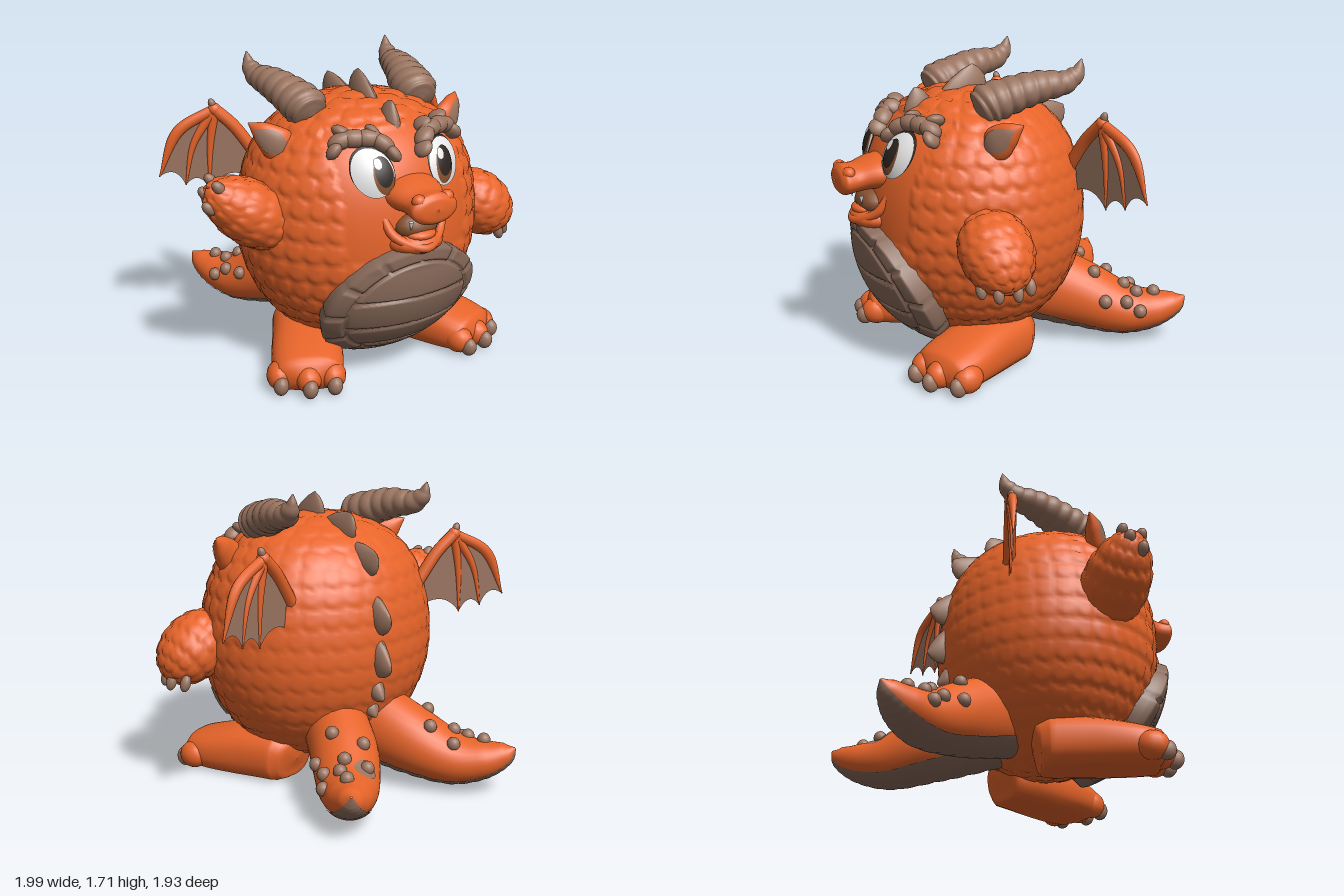
import * as THREE from 'three';
import { mergeVertices } from 'three/addons/utils/BufferGeometryUtils.js';

const V = (x, y, z) => new THREE.Vector3(x, y, z);
const TAU = Math.PI * 2;

function material(name, color, side = THREE.FrontSide) {
  const m = new THREE.MeshStandardMaterial({ color, side });
  m.name = name;
  return m;
}

// Smooth surface from a rule fn(u, v); its front is d/dv x d/du
function grid(nu, nv, fn) {
  const pos = [], idx = [];
  for (let i = 0; i <= nu; i++) for (let j = 0; j <= nv; j++) pos.push(...fn(i / nu, j / nv).toArray());
  for (let i = 0; i < nu; i++) for (let j = 0; j < nv; j++) {
    const a = i * (nv + 1) + j, c = a + nv + 1;
    idx.push(a, a + 1, c, a + 1, c + 1, c);
  }
  let g = new THREE.BufferGeometry();
  g.setAttribute('position', new THREE.Float32BufferAttribute(pos, 3));
  g.setIndex(idx);
  g = mergeVertices(g, 1e-5);
  g.computeVertexNormals();
  return g;
}

// Point rule for a tapered form along stations [x, y, z, sideRadius, upRadius]
function tapered(stations, s = 1, ridge = () => 1) {
  const path = new THREE.CatmullRomCurve3(stations.map(p => V(s * p[0], p[1], p[2])));
  const radii = new THREE.CatmullRomCurve3(stations.map(p => V(p[3], p[4], 0)));
  return (t, a, grow = 1) => {
    const dir = path.getTangent(t), r = radii.getPoint(t), k = grow * ridge(t);
    const side = V(0, 1, 0).cross(dir).normalize(), up = dir.clone().cross(side);
    return path.getPoint(t).addScaledVector(side, Math.max(r.x, 0.001) * k * Math.cos(a))
      .addScaledVector(up, Math.max(r.y, 0.001) * k * Math.sin(a));
  };
}

// Height of overlapping scales at longitude th and latitude ph
function scaleHeight(th, ph, cols) {
  const rows = cols / 2, cell = TAU / cols, row = Math.floor(ph / cell);
  for (let r = Math.max(0, row - 1); r <= Math.min(rows - 1, row + 1); r++) {
    const pr = (r + 0.5) * cell, n = Math.max(3, Math.round(cols * Math.sin(pr)));
    const w = th / TAU * n - (r % 2) * 0.5;
    const dx = (w - Math.round(w)) * TAU / n * Math.sin(pr) / cell, dy = (ph - pr) / cell;
    const d = Math.hypot(dx, dy);
    if (d < 0.66) return (0.4 + 0.6 * (dy + 0.66) / 1.32) * Math.min(1, (0.66 - d) * 3.5);
  }
  return 0;
}

function scalyForm(rx, ry, rz, cols, nu, nv, amp, shape = () => 1, mask = () => 1) {
  return grid(nu, nv, (u, v) => {
    const ph = u * Math.PI, th = v === 1 ? 0 : v * TAU, ny = Math.cos(ph), k = shape(ny) * Math.sin(ph);
    const p = V(rx * k * Math.cos(th), ry * ny, rz * k * Math.sin(th));
    return p.addScaledVector(p.clone().normalize(), amp * mask(p) * scaleHeight(th, ph, cols));
  });
}

// Body: an egg with a fuller crown
const C = V(0, 0.81, 0.15), R = V(0.692, 0.72, 0.625);
const crown = ny => ny > 0 ? 1 + 0.22 * ny * ny : 1;
function onBody(x, y, off = 0) {
  const ny = THREE.MathUtils.clamp((y - C.y) / R.y, -1, 1);
  const h = crown(ny) ** 2 * (1 - ny * ny) - (x / R.x) ** 2;
  const p = V(x, y, C.z + R.z * Math.sqrt(Math.max(0, h)));
  return p.addScaledVector(p.clone().sub(C).divide(R).divide(R).normalize(), off);
}
function patch(cx, cy, rx, ry, off, nu = 8, nv = 32) {
  return grid(nu, nv, (r, v) => {
    const a = -v * TAU, x = cx + rx * r * Math.cos(a), y = cy + ry * r * Math.sin(a);
    return onBody(x, y, off(x, y, r, -a));
  });
}

export function createModel() {
  const orange = material('orange hide', 0xe9652a);
  const horn = material('horn brown', 0x9a7460);
  const plate = material('belly brown', 0x8a6b5b);
  const membrane = material('wing membrane', 0x9a7460, THREE.DoubleSide);
  const white = material('eye white', 0xececec);
  const dark = material('pupil dark', 0x2c241f);
  const brown = material('iris brown', 0x85502f);
  const root = new THREE.Group(), g = new THREE.Group();
  root.name = 'dragon';
  g.name = 'dragonParts';
  g.position.x = 0.03;
  root.add(g);

  const add = (name, geo, mat, pos = [0, 0, 0], rot = [0, 0, 0]) => {
    const m = new THREE.Mesh(geo, mat);
    m.name = name;
    m.position.set(...pos);
    m.rotation.set(...rot);
    g.add(m);
    return m;
  };
  const ball = new THREE.SphereGeometry(1, 16, 10);
  const blob = (name, mat, pos, size, rot) => add(name, ball, mat, pos, rot).scale.set(...size);
  const loft = (name, mat, at, nu, nv, a0 = 0, a1 = TAU, grow = 1) =>
    add(name, grid(nu, nv, (u, v) => at(u, a0 + (a1 - a0) * v, grow)), mat);
  const tube = (name, mat, pts, r) =>
    add(name, new THREE.TubeGeometry(new THREE.CatmullRomCurve3(pts), 20, r, 10), mat);

  // Scales fade out on the face and soften toward the back
  const scaleMask = p => p.z > 0.25 && Math.abs(p.x) < 0.38 && p.y > -0.05 && p.y < 0.6 ? 0
    : 0.5 + 0.5 * THREE.MathUtils.smoothstep(p.z, -0.3, 0.15);
  add('body', scalyForm(R.x, R.y, R.z, 38, 136, 216, 0.018, crown, scaleMask), orange, [-0.005, C.y, C.z]);

  // Belly shield: outer ring of plates round horizontal bands
  const groove = d => Math.max(0, 1 - Math.abs(d) / 0.024);
  add('bellyShield', patch(-0.01, 0.485, 0.445, 0.365, (x, y, r, a) => {
    const w = a / TAU * 12, seg = (w - Math.round(w)) / 12 * TAU * r;
    let cut = groove(r - 0.74);
    if (r > 0.74) cut = Math.max(cut, groove(seg));
    else for (const band of [0.28, 0.41, 0.57]) cut = Math.max(cut, groove((y - band) / 0.4));
    const belly = 0.025 * Math.max(0, 1 - ((y - 0.42) / 0.3) ** 2);
    return 0.075 + belly - 0.02 * cut - 0.12 * THREE.MathUtils.smoothstep(r, 0.92, 1);
  }, 42, 132), plate);

  // Muzzle and open mouth
  loft('muzzle', orange, tapered([[0, 1.1, 0.58, 0.2, 0.12], [0, 1.1, 0.74, 0.165, 0.095], [0, 1.08, 0.85, 0.13, 0.08],
    [0, 1.075, 0.92, 0.14, 0.085], [0, 1.075, 0.95, 0.1, 0.06], [0, 1.075, 0.96, 0.005, 0.005]]), 24, 28);
  blob('mouthInside', brown, [0, 0.935, 0.755], [0.13, 0.08, 0.09]);
  blob('lowerJaw', orange, [0, 0.85, 0.745], [0.165, 0.075, 0.135]);
  blob('tongue', orange, [0, 0.9, 0.8], [0.09, 0.035, 0.07]);
  tube('lowerLip', orange, [V(-0.18, 1.0, 0.71), V(-0.145, 0.9, 0.775), V(0, 0.84, 0.865), V(0.145, 0.9, 0.775), V(0.18, 1.0, 0.71)], 0.026);

  // Back spikes, leaning rearward
  const spikeGeo = new THREE.LatheGeometry([[1, -0.4], [0.97, 0], [0.75, 0.4], [0.38, 0.78], [0.001, 1]]
    .map(p => new THREE.Vector2(...p)), 20);
  const sp = spikeGeo.attributes.position;
  for (let i = 0; i < sp.count; i++) sp.setZ(i, sp.getZ(i) - 0.4 * sp.getY(i));
  spikeGeo.computeVertexNormals();
  [[-0.47, 0.09, 0.085], [-0.06, 0.12, 0.14], [0.36, 0.11, 0.13], [0.76, 0.1, 0.12], [1.25, 0.1, 0.12],
    [1.6, 0.1, 0.11], [1.87, 0.07, 0.06], [2.05, 0.05, 0.04]].forEach(([f, h, len]) => {
    const k = crown(Math.cos(f));
    add('backSpike', spikeGeo, horn, [0.008, C.y + R.y * Math.cos(f), C.z - R.z * k * Math.sin(f)], [-f, 0, 0]).scale.set(0.045, h, len);
  });

  for (const s of [1, -1]) {
    // Eye: layered discs on the face, leaning slightly forward at the top
    const ex = s * 0.212, ey = 1.215, ix = s * 0.18 + 0.013;
    const bulge = (x, y) => 0.012 + 0.1 * (y - 1.11) + 0.022 * (1 - ((x - ex) / 0.11) ** 2 - ((y - ey) / 0.12) ** 2);
    const disc = (name, mat, x, y, rx, ry, lift) => add(name, patch(x, y, rx, ry, (px, py) => bulge(px, py) + lift), mat);
    disc('eyeRim', dark, ex, ey + 0.008, 0.11, 0.117, -0.004);
    disc('eyeWhite', white, ex, ey, 0.105, 0.113, 0);
    disc('iris', brown, ix, ey - 0.015, 0.054, 0.085, 0.004);
    disc('pupil', dark, ix, ey + 0.004, 0.046, 0.07, 0.008);
    disc('eyeGlint', white, ix - 0.024, ey + 0.04, 0.02, 0.025, 0.012);

    // Overhanging eyebrow with swept tufts
    [[0.09, 1.3, 0.045, 1.0], [0.125, 1.345, 0.06, 0.7], [0.185, 1.37, 0.066, 0.15], [0.25, 1.37, 0.066, 0.1],
      [0.31, 1.36, 0.062, -0.25], [0.355, 1.32, 0.046, -0.8], [0.15, 1.395, 0.04, 0.9], [0.29, 1.395, 0.045, 0.6]].forEach(([x, y, r, tilt]) =>
      blob('eyebrow', horn, onBody(s * x, y, 0.03).toArray(), [r * 1.2, r * 0.75, 0.055], [-0.3, s * 0.4, s * tilt]));

    blob('nostril', orange, [s * 0.085, 1.125, 0.905], [0.04, 0.035, 0.035]);
    add('tooth', new THREE.ConeGeometry(0.014, 0.05, 10), white, [s * 0.085, 0.965, 0.84], [Math.PI, 0, 0]);

    // Ringed horn curling up at the tip
    const ringed = t => 0.95 + 0.1 * Math.abs(Math.sin(t * Math.PI * 11));
    loft('horn', horn, tapered([[0.35, 1.455, 0.275, 0.005, 0.005], [0.352, 1.465, 0.255, 0.09, 0.09], [0.357, 1.495, 0.2, 0.12, 0.112],
      [0.375, 1.53, 0.1, 0.118, 0.1], [0.4, 1.56, 0, 0.102, 0.092], [0.42, 1.58, -0.1, 0.088, 0.08],
      [0.44, 1.59, -0.2, 0.068, 0.064], [0.455, 1.64, -0.27, 0.042, 0.045], [0.46, 1.715, -0.295, 0.003, 0.003]], s, ringed), 88, 24);

    // Ear with a brown hollow facing forward
    const ear = tapered([[0.46, 1.25, 0.25, 0.05, 0.07], [0.54, 1.32, 0.24, 0.06, 0.095], [0.61, 1.385, 0.2, 0.045, 0.065],
      [0.67, 1.435, 0.15, 0.003, 0.003]], s);
    const mid = s > 0 ? Math.PI : 0;
    loft('ear', orange, ear, 16, 20);
    loft('earHollow', horn, (t, a, k) => ear(0.25 + 0.6 * t, mid + (a - mid) * Math.sin(Math.PI * (0.1 + 0.9 * t)), k),
      12, 10, mid - 0.8, mid + 0.8, 1.06);

    // Wing: membrane framed by an arm and three finger bones
    const wz = x => -0.28 - 0.32 * (x - 0.55);
    const wp = (x, y) => V(s * x, y, wz(x));
    const w = new THREE.Shape();
    w.moveTo(s * 0.48, 1.15);
    w.lineTo(s * 0.66, 1.4);
    w.quadraticCurveTo(s * 0.92, 1.3, s * 0.97, 1.02);
    w.quadraticCurveTo(s * 0.88, 1.09, s * 0.83, 0.96);
    w.quadraticCurveTo(s * 0.76, 1.05, s * 0.7, 0.93);
    w.quadraticCurveTo(s * 0.62, 1.05, s * 0.5, 1.0);
    const wing = new THREE.ShapeGeometry(w, 14), q = wing.attributes.position;
    for (let i = 0; i < q.count; i++) q.setZ(i, wz(Math.abs(q.getX(i))));
    wing.computeVertexNormals();
    add('wingMembrane', wing, membrane);
    tube('wingArm', orange, [wp(0.44, 1.12), wp(0.56, 1.3), wp(0.66, 1.4)], 0.036);
    blob('wingWrist', orange, wp(0.66, 1.4).toArray(), [0.037, 0.037, 0.037]);
    [[0.86, 1.28, 0.97, 1.02, 1.35], [0.78, 1.2, 0.83, 0.96, 0.8], [0.69, 1.18, 0.7, 0.93, 0.8]].forEach(([x, y, tx, ty, f]) =>
      loft('wingFinger', orange, tapered([[0.66, 1.4, wz(0.66), 0.028, 0.03], [x, y, wz(x), 0.02 * f, 0.024 * f],
        [tx, ty, wz(tx), 0.004, 0.004]], s), 18, 10));
    blob('wingClaw', horn, wp(0.67, 1.43).toArray(), [0.022, 0.035, 0.022], [0, 0, -s * 0.4]);

    // Broad foot with flat sole, toes and claws
    const footAt = tapered([[0.275, 0.13, -0.04, 0.002, 0.002], [0.28, 0.135, -0.02, 0.14, 0.12], [0.3, 0.14, 0.05, 0.185, 0.155],
      [0.39, 0.135, 0.25, 0.195, 0.155], [0.49, 0.115, 0.45, 0.2, 0.13], [0.545, 0.1, 0.57, 0.18, 0.105], [0.57, 0.09, 0.63, 0.01, 0.01]], s);
    // Squared-off section, flat underneath
    const sole = (t, a, k) => {
      const p = footAt(t, a, k * (1 + 0.08 * Math.sin(2 * a) ** 2));
      p.y = Math.max(p.y, 0.01);
      return p;
    };
    loft('foot', orange, sole, 30, 32);
    [[0.445, 0.685], [0.58, 0.655], [0.7, 0.545]].forEach(([x, z]) => {
      blob('toe', orange, [s * (x - 0.025), 0.09, z - 0.075], [0.072, 0.08, 0.09], [0, s * 0.4, 0]);
      blob('toeClaw', horn, [s * x, 0.062, z - 0.005], [0.042, 0.056, 0.048], [0.3, s * 0.4, 0]);
    });

    // One of two tails, with ribbed underside and studs on top
    const tail = tapered([[0.1, 0.38, -0.15, 0.18, 0.24], [0.23, 0.27, -0.44, 0.19, 0.2], [0.38, 0.185, -0.68, 0.165, 0.145],
      [0.485, 0.205, -0.83, 0.12, 0.105], [0.55, 0.25, -0.92, 0.06, 0.06], [0.575, 0.285, -0.96, 0.004, 0.004]], s);
    loft('tail', orange, tail, 30, 32);
    const ribbed = (t, a) => tail(t, a, 1.02 + 0.025 * Math.abs(Math.sin(t * Math.PI * 16)));
    loft('tailUnderside', plate, ribbed, 80, 16, Math.PI + 0.68, TAU - 0.68);
    // Angles run from the inner side (0) over the top to the outer side (PI)
    const inner = a => s > 0 ? Math.PI - a : a;
    const outward = s > 0 ? Math.PI : 0;
    [[0.22, 2.0], [0.27, 1.1], [0.3, 2.75], [0.36, 1.7], [0.4, 2.5], [0.4, 0.95], [0.47, 1.9], [0.5, 2.85], [0.6, 1.7]].forEach(([t, a]) =>
      blob('tailStud', horn, tail(t, Math.abs(outward - inner(Math.PI - a)) === 0 ? 0 : inner(Math.PI - a), 1.01).toArray(), [0.038, 0.04, 0.038]));
    // Worn patch on the left tail
    if (s > 0) add('tailPatch', grid(6, 24, (r, v) =>
      tail(0.43 - 0.08 * r * Math.sin(v * TAU), 1.0 + 0.42 * r * Math.cos(v * TAU), 1.03)), horn);
  }

  // Lowered left arm and raised right arm
  const taperArm = ny => 1 + 0.12 * ny;
  add('leftArm', scalyForm(0.175, 0.235, 0.19, 16, 50, 70, 0.016), orange, [0.725, 0.8, 0.33], [0, 0, 0.9]);
  [[0.8, 0.635, 0.45], [0.88, 0.63, 0.39], [0.9, 0.63, 0.29], [0.86, 0.635, 0.2]].forEach(p =>
    blob('leftClaw', horn, p, [0.03, 0.05, 0.03], [0, 0, 0.3]));
  add('rightArm', scalyForm(0.165, 0.28, 0.18, 16, 50, 70, 0.016, taperArm), orange, [-0.74, 0.99, 0.27], [0, 0, -2.2]);
  blob('rightPalm', orange, [-0.89, 1.1, 0.28], [0.085, 0.09, 0.1]);
  [[-0.98, 1.06, 0.31], [-0.97, 1.12, 0.24], [-0.925, 1.18, 0.22], [-0.93, 1.17, 0.33]].forEach(p =>
    blob('rightClaw', horn, p, [0.03, 0.045, 0.032], [0, 0, 0.7]));
  return root;
}
